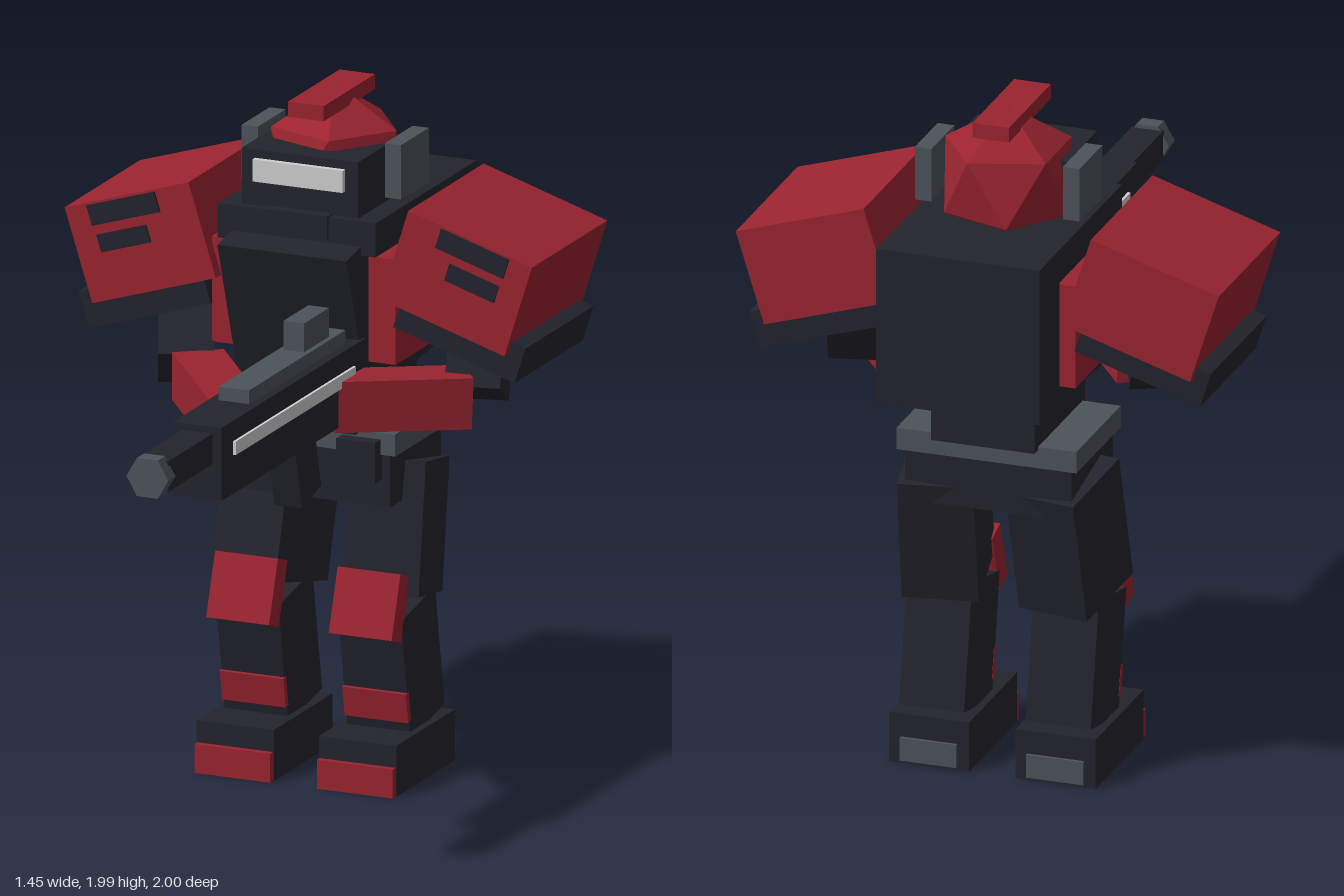
import * as THREE from 'three';

const mat = (name, color) => {
  const m = new THREE.MeshStandardMaterial({ color });
  m.name = name;
  return m;
};

export function createModel() {
  const model = new THREE.Group();
  model.name = 'armouredSoldier';
  const red = mat('armourRed', 0x9a2430);
  const dark = mat('darkSuit', 0x23232d);
  const grey = mat('steelGrey', 0x4c535a);
  const white = mat('paleLight', 0xcfcfcf);
  for (const m of [red, dark, grey, white]) m.flatShading = true;

  const add = (name, geo, material, parent = model) => {
    const mesh = new THREE.Mesh(geo, material);
    mesh.name = name;
    parent.add(mesh);
    return mesh;
  };
  // Box given by its minimum and maximum on each axis
  const span = (name, material, x0, x1, y0, y1, z0, z1, parent) => {
    const b = add(name, new THREE.BoxGeometry(x1 - x0, y1 - y0, z1 - z0), material, parent);
    b.position.set((x0 + x1) / 2, (y0 + y1) / 2, (z0 + z1) / 2);
    return b;
  };
  // Box given by size, centre and turn
  const box = (name, material, size, pos, rot = [0, 0, 0], parent = model) => {
    const b = add(name, new THREE.BoxGeometry(...size), material, parent);
    b.position.set(...pos);
    b.rotation.set(...rot, 'YXZ');
    return b;
  };
  // Box running from point a to point b
  const limb = (name, material, a, b, w, h) => {
    const A = new THREE.Vector3(...a), B = new THREE.Vector3(...b);
    const m = add(name, new THREE.BoxGeometry(w, h, A.distanceTo(B)), material);
    m.position.copy(A).add(B).multiplyScalar(0.5);
    m.lookAt(B);
    return m;
  };
  // Side profile of [z, y] points, extruded across x
  const profile = (name, material, pts, halfWidth) => {
    const shape = new THREE.Shape(pts.map(([z, y]) => new THREE.Vector2(-z, y)));
    const geo = new THREE.ExtrudeGeometry(shape, { depth: halfWidth * 2, bevelEnabled: false });
    geo.translate(0, 0, -halfWidth);
    geo.rotateY(Math.PI / 2);
    return add(name, geo, material);
  };

  // Legs
  for (const s of [-1, 1]) {
    const x = s * 0.19;
    box('boot', dark, [0.24, 0.15, 0.4], [x, 0.075, -0.51]);
    box('toeCap', red, [0.235, 0.085, 0.03], [x, 0.0425, -0.305]);
    box('heelPlate', grey, [0.17, 0.07, 0.02], [x, 0.045, -0.71]);
    const shin = box('shin', dark, [0.195, 0.37, 0.235], [x, 0.33, -0.54], [0.18, 0, 0]);
    box('shinGuard', red, [0.197, 0.09, 0.02], [0, -0.085, 0.118], [0, 0, 0], shin);
    box('thigh', dark, [0.22, 0.385, 0.27], [s * 0.185, 0.715, -0.585], [-0.21, s * 0.17, 0]);
    box('kneePad', red, [0.195, 0.19, 0.07], [x, 0.53, -0.39], [-0.33, 0, 0]);
    box('beltPouch', dark, [0.12, 0.12, 0.06], [s * 0.165, 0.96, -0.38]);
  }

  // Hips and torso
  span('pelvis', dark, -0.25, 0.25, 0.82, 0.98, -0.745, -0.4);
  span('belt', grey, -0.27, 0.27, 0.975, 1.04, -0.76, -0.39);
  span('waist', dark, -0.155, 0.155, 1.03, 1.25, -0.79, -0.37);
  profile('chest', dark,
    [[-0.21, 1.59], [-0.4, 1.62], [-0.83, 1.62], [-0.81, 1.18], [-0.36, 1.14]], 0.2);
  span('shoulderYoke', dark, -0.245, 0.245, 1.58, 1.68, -0.84, -0.31);
  span('collar', dark, -0.1, 0.1, 1.62, 1.685, -0.4, -0.3);
  span('backpack', dark, -0.245, 0.245, 1.21, 1.68, -1, -0.83);
  span('backpackBase', dark, -0.15, 0.15, 1.2, 1.25, -0.875, -0.78);
  for (const s of [-1, 1]) {
    box('sidePlate', red, [0.09, 0.31, 0.45], [s * 0.24, 1.41, -0.585]);
  }

  // Head: faceted dome standing on a corner
  const dome = new THREE.IcosahedronGeometry(0.21, 0);
  dome.rotateX(-Math.atan((1 + Math.sqrt(5)) / 2));
  dome.rotateY(Math.PI / 2);
  add('helmetDome', dome, red).position.set(0, 1.78, -0.58);
  span('helmetCrest', red, -0.055, 0.055, 1.94, 1.985, -0.725, -0.375);
  span('faceMask', dark, -0.18, 0.18, 1.68, 1.845, -0.58, -0.335);
  span('visor', white, -0.14, 0.14, 1.755, 1.82, -0.335, -0.317);
  for (const s of [-1, 1]) box('earGuard', grey, [0.05, 0.16, 0.19], [s * 0.222, 1.785, -0.575]);

  // Shoulder armour with vents and a lower sleeve
  for (const s of [-1, 1]) {
    const g = new THREE.Group();
    g.name = s > 0 ? 'leftShoulder' : 'rightShoulder';
    g.position.set(s * 0.49, 1.53, -0.58);
    g.rotation.z = -s * 0.305;
    model.add(g);
    box('shoulderPlate', red, [0.402, 0.285, 0.515], [0, 0, 0], [0, 0, 0], g);
    box('sleeve', dark, [0.395, 0.11, 0.465], [s * 0.048, -0.16, 0], [0, 0, 0], g);
    box('upperVent', dark, [0.22, 0.06, 0.009], [s * 0.02, 0.106, 0.26], [0, 0, 0], g);
    box('lowerVent', dark, [0.16, 0.052, 0.009], [s * 0.045, 0.022, 0.26], [0, 0, 0], g);
  }

  // Arms reaching to the rifle
  limb('rightUpperArm', dark, [-0.46, 1.4, -0.57], [-0.36, 1.17, -0.35], 0.16, 0.16);
  limb('rightForearm', red, [-0.31, 1.165, -0.32], [0.09, 1.17, 0.22], 0.15, 0.14);
  limb('leftUpperArm', dark, [0.46, 1.4, -0.58], [0.49, 1.17, -0.46], 0.16, 0.16);
  limb('leftForearm', red, [0.475, 1.165, -0.43], [0.16, 1.18, -0.19], 0.14, 0.15);

  // Rifle
  const rifle = new THREE.Group();
  rifle.name = 'rifle';
  rifle.position.set(0.133, 0, 0);
  model.add(rifle);
  span('rifleBody', dark, -0.075, 0.075, 1.12, 1.335, -0.32, 0.66, rifle);
  span('barrel', dark, -0.047, 0.047, 1.225, 1.315, 0.65, 0.96, rifle);
  const muzzle = add('muzzle', new THREE.CylinderGeometry(0.065, 0.065, 0.05, 6), grey, rifle);
  muzzle.geometry.rotateY(Math.PI / 6).rotateX(Math.PI / 2).rotateZ(0);
  muzzle.geometry.rotateZ(Math.PI / 6 * (Math.abs(muzzle.geometry.attributes.position.getX(0)) < 0.01 ? 1 : 0));
  muzzle.position.set(0, 1.27, 0.975);
  span('topRail', grey, -0.047, 0.047, 1.33, 1.375, -0.25, 0.41, rifle);
  span('sight', grey, -0.032, 0.032, 1.37, 1.46, -0.17, 0, rifle);
  for (const s of [-1, 1]) {
    box('lightStrip', white, [0.009, 0.04, 0.82], [s * 0.079, 1.255, 0.17], [0, 0, 0], rifle);
  }
  box('grip', dark, [0.085, 0.22, 0.135], [0, 1.05, 0], [0.25, 0, 0], rifle);

  return model;
}
